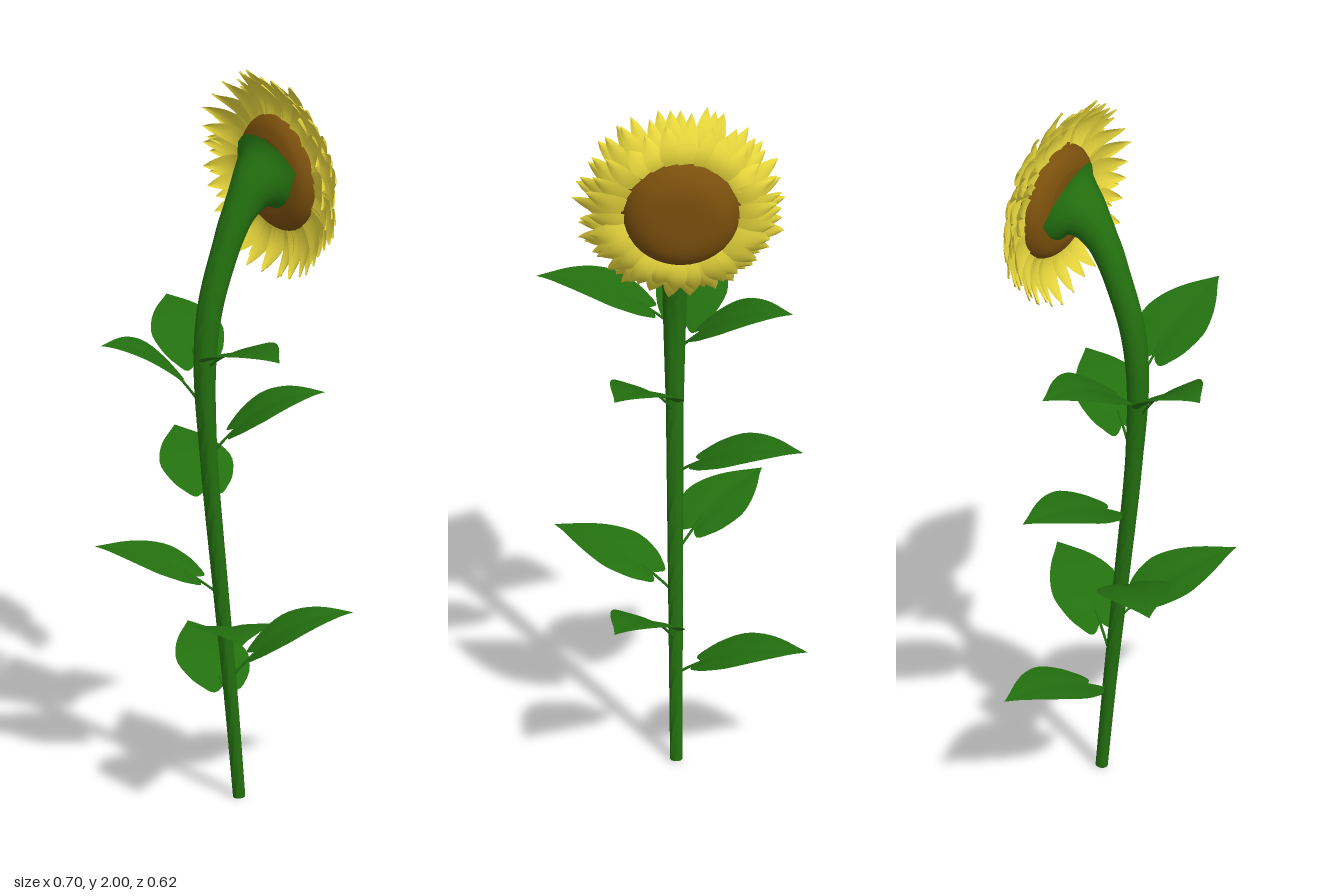
import * as THREE from 'three';
import { mergeGeometries, toCreasedNormals } from 'three/addons/utils/BufferGeometryUtils.js';

const V = (x, y, z) => new THREE.Vector3(x, y, z);
const green = new THREE.MeshStandardMaterial({ color: 0x23700f });
const leafGreen = new THREE.MeshStandardMaterial({ color: 0x23700f, side: THREE.DoubleSide });
const yellow = new THREE.MeshStandardMaterial({ color: 0xe6d53c, side: THREE.DoubleSide });
const brown = new THREE.MeshStandardMaterial({ color: 0x7a4f0c });

let seed = 7;
const rand = () => (seed = (seed * 16807) % 2147483647) / 2147483647;

// Linear lookup in a list of [position, value] pairs
function lookup(table, u) {
  const i = Math.max(1, table.findIndex((p) => p[0] >= u));
  const [a, b] = [table[i - 1], table[i]];
  return THREE.MathUtils.lerp(a[1], b[1], (u - a[0]) / (b[0] - a[0]));
}

// Thin grid surface: fn(s along 0..1, t across -1..1) returns a point
function sheet(ns, nt, fn) {
  const g = new THREE.PlaneGeometry(2, 1, nt, ns);
  const p = g.attributes.position;
  for (let i = 0; i < p.count; i++) {
    const q = fn(0.5 - p.getY(i), p.getX(i));
    p.setXYZ(i, q.x, q.y, q.z);
  }
  g.computeVertexNormals();
  return g;
}

function named(name, geometry, material) {
  const m = new THREE.Mesh(geometry, material);
  m.name = name;
  return m;
}

// Stem path leans back, then hooks over into the flower head
const stemPath = new THREE.CatmullRomCurve3([
  V(-0.01, 0, -0.065), V(-0.01, 0.3, -0.037), V(-0.01, 0.6, -0.005), V(-0.01, 1.0, 0.035),
  V(-0.01, 1.25, 0.046), V(-0.01, 1.4, 0.03), V(-0.01, 1.53, -0.01), V(-0.01, 1.645, -0.06),
  V(-0.012, 1.71, -0.115), V(-0.016, 1.73, -0.172),
]);
const stemRadius = [[0, 0.016], [0.55, 0.023], [0.76, 0.033], [0.87, 0.037], [0.92, 0.043],
  [0.95, 0.054], [0.97, 0.073], [0.985, 0.098], [1, 0.125]];

function stem() {
  const n = 90, k = 20;
  const g = new THREE.TubeGeometry(stemPath, n, 1, k);
  const p = g.attributes.position, v = V(0, 0, 0);
  for (let i = 0; i < p.count; i++) {
    const u = Math.floor(i / (k + 1)) / n, c = stemPath.getPointAt(u);
    v.fromBufferAttribute(p, i).sub(c).multiplyScalar(lookup(stemRadius, u)).add(c);
    p.setXYZ(i, v.x, v.y, v.z);
  }
  g.deleteAttribute('normal');
  return named('stem', toCreasedNormals(g, 0.9), green);
}

// Half width of the heart-shaped blade, from base to tip
const leafWidth = new THREE.SplineCurve([[0, 0.05], [0.1, 0.079], [0.3, 0.097], [0.5, 0.083],
  [0.7, 0.054], [0.88, 0.02], [1, 0]].map(([x, y]) => new THREE.Vector2(x, y)));

function stemAtHeight(y) {
  let best = V(0, 0, 0), d = 9;
  for (let i = 0; i <= 400; i++) {
    const c = stemPath.getPoint(i / 400);
    if (Math.abs(c.y - y) < d) { d = Math.abs(c.y - y); best = c; }
  }
  return best;
}

// Leaf: a petiole leaving the stem at height y and an arched blade ending at tip
function leaf(y, tip) {
  const group = new THREE.Group();
  group.name = 'leaf';
  const root = stemAtHeight(y);
  const dir = V(tip.x - root.x, 0, tip.z - root.z);
  const length = dir.length(), rise = tip.y - root.y;
  dir.normalize();
  const side = V(-dir.z, 0, dir.x);
  const at = (d) => root.clone().addScaledVector(dir, d)
    .setY(root.y + rise * (1 - Math.pow(Math.max(0, 1 - d / length), 2.3)));

  const petiole = new THREE.CatmullRomCurve3([root, at(0.035), at(0.075), at(0.1)]);
  group.add(named('petiole', new THREE.TubeGeometry(petiole, 8, 0.0035, 6), green));

  const start = 0.072;
  const blade = sheet(18, 10, (s, t) => {
    const w = leafWidth.getPoint(s);
    const back = 0.024 * Math.sin(Math.PI * Math.min(1, Math.abs(t) * 0.8)) * Math.pow(1 - s, 4);
    const p = at(start + (length - start) * w.x - back);
    p.addScaledVector(side, t * w.y);
    p.y += 0.007 * Math.min(1, Math.abs(t) * 2.5) * (1 - s);
    return p;
  });
  group.add(named('blade', blade, leafGreen));
  return group;
}

// One ring of pointed, arched petals; the flower axis is +y
function petalRing(count, rootR, tipR, rootH, tipH, phase) {
  const parts = [];
  for (let i = 0; i < count; i++) {
    const len = (tipR - rootR) * (0.9 + 0.16 * rand());
    const width = 0.024 + 0.005 * rand();
    const lift = (rand() - 0.5) * 0.018, twist = (rand() - 0.5) * 0.5;
    const g = sheet(8, 4, (s, t) => {
      const w = width * Math.pow(Math.sin(Math.PI * (0.14 + 0.86 * Math.pow(s, 0.95))), 0.75);
      const h = rootH + (tipH + lift - rootH) * Math.pow(s, 1.7) + 0.014 * Math.sin(Math.PI * s);
      const z = t * (s > 0.999 ? 0 : w);
      return V(rootR + len * s, h - 0.006 * t * t * s + z * twist, z);
    });
    g.rotateY((i + phase + (rand() - 0.5) * 0.35) / count * Math.PI * 2);
    parts.push(g);
  }
  return named('petalRing', mergeGeometries(parts), yellow);
}

function flowerHead() {
  const head = new THREE.Group();
  head.name = 'flowerHead';
  // Domed seed disc with a rounded rim
  const profile = new THREE.SplineCurve([[0.1, 0.158], [0.135, 0.17], [0.156, 0.195], [0.155, 0.222],
    [0.138, 0.25], [0.105, 0.271], [0.06, 0.279], [0, 0.28]].map(([x, y]) => new THREE.Vector2(x, y)));
  const points = [new THREE.Vector2(0, 0.158), ...profile.getPoints(24)];
  points[points.length - 1].x = 0;
  head.add(named('seedDisc', new THREE.LatheGeometry(points, 40), brown));
  // Petal layers from the back to the front
  head.add(petalRing(28, 0.14, 0.275, 0.195, 0.152, 0));
  head.add(petalRing(28, 0.14, 0.277, 0.213, 0.172, 0.5));
  head.add(petalRing(26, 0.14, 0.25, 0.228, 0.2, 0.25));
  head.rotation.x = -Math.PI / 2;
  head.position.set(-0.018, 1.728, 0);
  return head;
}

export function createModel() {
  const model = new THREE.Group();
  model.name = 'sunflower';
  model.add(stem(), flowerHead());
  // Base cap of the stem
  const cap = named('stemBase', new THREE.CircleGeometry(0.016, 20), green);
  cap.rotation.x = Math.PI / 2;
  cap.position.set(-0.01, 0.001, -0.065);
  model.add(cap);
  // Leaves: height on the stem and tip position
  [
    [0.24, -0.35, 0.36, -0.15],
    [0.34, 0.16, 0.515, -0.31],
    [0.47, 0.3, 0.585, 0.155],
    [0.58, -0.245, 0.7, 0.23],
    [0.81, -0.34, 0.93, -0.1],
    [0.98, 0.157, 1.16, -0.22],
    [1.11, -0.115, 1.33, 0.305],
    [1.16, -0.315, 1.32, -0.055],
    [1.23, 0.35, 1.38, 0.07],
  ].forEach(([y, tx, ty, tz]) => model.add(leaf(y, V(tx, ty, tz))));
  return model;
}
